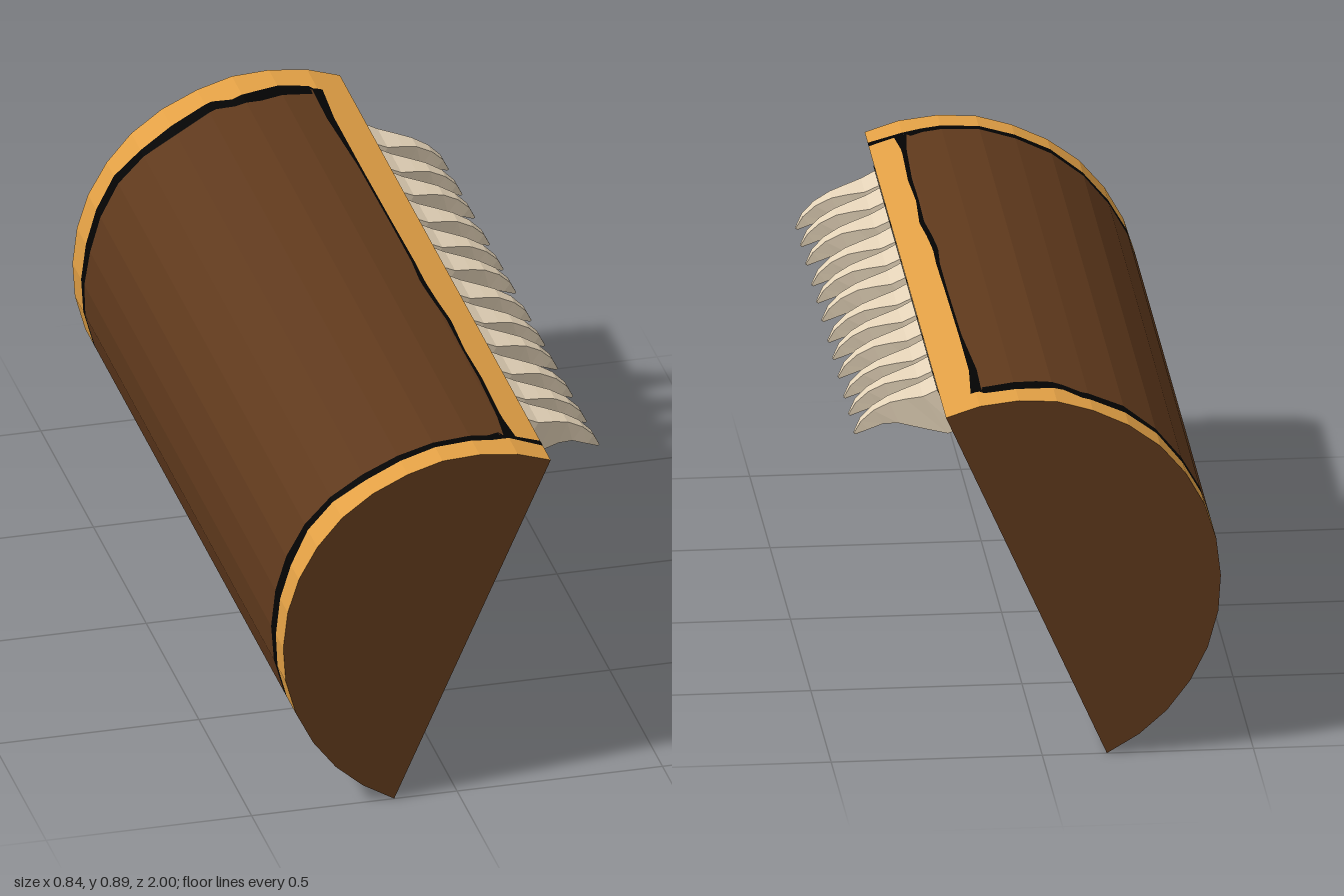
import * as THREE from 'three';

const mat = (name, color, side = THREE.FrontSide) => {
  const m = new THREE.MeshStandardMaterial({ color, side, flatShading: true });
  m.name = name;
  return m;
};

// Lid outline from the upper front lip, over the back, to the lower lip
const PROFILE = [
  [0.228, 0.853], [0.148, 0.879], [0.055, 0.89], [-0.035, 0.885], [-0.12, 0.86], [-0.205, 0.82],
  [-0.28, 0.765], [-0.34, 0.695], [-0.385, 0.615], [-0.412, 0.53], [-0.423, 0.437], [-0.417, 0.348],
  [-0.392, 0.258], [-0.35, 0.175], [-0.295, 0.103], [-0.23, 0.046], [-0.153, 0],
];
const LAST = PROFILE.length - 1;
const TOOTH_Z = [-0.72, -0.59, -0.47, -0.33, -0.2, -0.08, 0.065, 0.195, 0.315, 0.46, 0.59, 0.71];

// Ragged trim outlines: [position, gold side, wood side]
const BACK_EDGE = [
  [1, -0.915, -0.875], [2, -0.918, -0.87], [2.6, -0.91, -0.86], [3.3, -0.9, -0.865], [3.8, -0.925, -0.885],
  [5, -0.912, -0.866], [6, -0.912, -0.88], [7, -0.93, -0.89], [9, -0.915, -0.875], [11, -0.92, -0.9], [16, -0.915, -0.91],
];
const FRONT_EDGE = [
  [0, 0.925, 0.9], [1, 0.915, 0.875], [1.5, 0.925, 0.9], [3, 0.928, 0.905], [5, 0.93, 0.9], [6, 0.915, 0.89],
  [7, 0.91, 0.88], [8, 0.925, 0.88], [10, 0.93, 0.885], [12, 0.915, 0.89], [13, 0.91, 0.9], [16, 0.91, 0.905],
];
const LIP_EDGE = [
  [-0.9, 0.85, 1.15], [-0.75, 0.98, 1.18], [-0.5, 0.98, 1.05], [-0.2, 0.95, 1.02], [0, 0.92, 1.02], [0.1, 0.94, 1.08],
  [0.2, 0.88, 1.02], [0.3, 0.78, 0.92], [0.45, 0.86, 0.94], [0.6, 0.8, 0.92], [0.8, 0.86, 1], [0.9, 0.75, 1.1],
];

const lerp = THREE.MathUtils.lerp;
const onLid = (s, z) => {
  const i = Math.min(Math.floor(s), LAST - 1), t = s - i;
  return [lerp(PROFILE[i][0], PROFILE[i + 1][0], t), lerp(PROFILE[i][1], PROFILE[i + 1][1], t), z];
};
// Border function read from one column of an outline list
const border = (list, col) => t => {
  let i = 0;
  while (i < list.length - 2 && t > list[i + 1][0]) i++;
  const a = list[i], b = list[i + 1];
  return lerp(a[col], b[col], (t - a[0]) / (b[0] - a[0]));
};

// Faceted surface from a function of (u, v), both 0..1
function grid(fn, nu, nv) {
  const p = [];
  for (let i = 0; i < nu; i++) for (let j = 0; j < nv; j++) {
    const a = fn(i / nu, j / nv), b = fn((i + 1) / nu, j / nv);
    const c = fn((i + 1) / nu, (j + 1) / nv), d = fn(i / nu, (j + 1) / nv);
    p.push(...a, ...b, ...c, ...a, ...c, ...d);
  }
  const g = new THREE.BufferGeometry();
  g.setAttribute('position', new THREE.Float32BufferAttribute(p, 3));
  g.computeVertexNormals();
  return g;
}

function toothGeometry() {
  // Sections: top x, top y, bottom x, bottom y, top half width, bottom half width
  const rows = [
    [0.22, 0.845, 0.174, 0.745, 0.053, 0.064], [0.26, 0.825, 0.202, 0.733, 0.049, 0.056],
    [0.3, 0.815, 0.26, 0.742, 0.035, 0.04], [0.337, 0.804, 0.315, 0.752, 0.024, 0.026],
    [0.375, 0.783, 0.35, 0.75, 0.018, 0.019], [0.404, 0.755, 0.388, 0.734, 0.013, 0.014],
    [0.42, 0.723, 0.416, 0.72, 0.005, 0.005],
  ];
  return grid((u, v) => {
    const [tx, ty, bx, by, tw, bw] = rows[Math.round(u * (rows.length - 1))];
    return [[tx, ty, tw], [bx, by, bw], [bx, by, -bw], [tx, ty, -tw]][Math.round(v * 4) % 4];
  }, rows.length - 1, 4);
}

export function createModel() {
  const root = new THREE.Group();
  root.name = 'toothedChestLid';
  const wood = mat('brown wood', 0x5f391c);
  const gold = mat('gold trim', 0xe2a045);
  const black = mat('black', 0x030303, THREE.DoubleSide);
  const ivory = mat('ivory', 0xe4d3b8, THREE.DoubleSide);
  const add = (name, geo, material) => {
    const m = new THREE.Mesh(geo, material);
    m.name = name;
    root.add(m);
    return m;
  };

  // Curved shell patch between two borders along z
  const around = (s0, za, zb) => grid((u, v) => {
    const s = lerp(s0, LAST, u);
    return onLid(s, lerp(za(s), zb(s), v));
  }, (LAST - s0) * 10, 1);
  // Lip patch between two borders along the outline
  const along = (sa, sb) => grid((u, v) => {
    const z = lerp(-0.9, 0.9, v);
    return onLid(lerp(sa(z), sb(z), u), z);
  }, 6, 60);

  const lipEnd = 1.2;
  const inLip = (fn, z) => s => (s < lipEnd ? z : fn(s));
  const backOuter = inLip(border(BACK_EDGE, 1), -0.9), backInner = inLip(border(BACK_EDGE, 2), -0.9);
  const frontOuter = border(FRONT_EDGE, 1), frontInner = inLip(border(FRONT_EDGE, 2), 0.9);
  const lipOuter = border(LIP_EDGE, 1), lipInner = border(LIP_EDGE, 2);

  add('curvedShell', around(lipEnd, border(BACK_EDGE, 2), border(FRONT_EDGE, 2)), wood);
  add('frontGoldBand', around(0, frontOuter, () => 1), gold);
  add('backGoldBand', around(0, () => -1, backOuter), gold);
  add('frontBandOutline', around(0, frontInner, frontOuter), black);
  add('backBandOutline', around(0, backOuter, backInner), black);
  add('lipGoldBand', along(() => 0, lipOuter), gold);
  add('lipOutline', along(lipOuter, lipInner), black);
  add('lipShell', along(lipInner, () => lipEnd), wood);

  // Flat ends
  const endShape = new THREE.Shape(PROFILE.map(([x, y]) => new THREE.Vector2(x, y)));
  add('frontEnd', new THREE.ShapeGeometry(endShape), wood).position.z = 1;
  const backShape = new THREE.Shape(PROFILE.map(([x, y]) => new THREE.Vector2(-x, y)));
  const backEnd = add('backEnd', new THREE.ShapeGeometry(backShape), wood);
  backEnd.rotation.y = Math.PI;
  backEnd.position.z = -1;

  // Slanted rim: drawn as (z, y), then leaned onto the open side
  const slant = y => -0.153 + y * 0.381 / 0.853;
  const rect = (C, w, y0, y1) => new C([[-w, y0], [w, y0], [w, y1], [-w, y1]].map(p => new THREE.Vector2(...p)));
  const lean = (shape, offset) => {
    const g = new THREE.ShapeGeometry(shape), p = g.attributes.position;
    for (let i = 0; i < p.count; i++) {
      const a = p.getX(i), y = p.getY(i);
      p.setXYZ(i, slant(y) + offset, y, -a);
    }
    g.computeVertexNormals();
    return g;
  };
  const rim = rect(THREE.Shape, 1, 0, 0.853);
  rim.holes.push(rect(THREE.Path, 0.81, 0.15, 0.73));
  add('rim', lean(rim, 0), wood);
  add('gumPlate', lean(rect(THREE.Shape, 0.79, 0.73, 0.848), 0.003), black);

  // Hollow inside
  const k = 0.58 / 0.853;
  const inner = ([x, y]) => [slant(0.44) + (x - 0.0375) * k, 0.44 + (y - 0.4265) * k];
  add('cavity', grid((u, v) => [...inner(onLid(u * LAST, 0)), lerp(0.81, -0.81, v)], LAST, 1), black);
  const capShape = new THREE.Shape(PROFILE.map(p => new THREE.Vector2(...inner(p))));
  for (const z of [-0.81, 0.81]) add('cavityEnd', new THREE.ShapeGeometry(capShape), black).position.z = z;

  // Row of curved teeth along the upper lip
  const tooth = toothGeometry();
  for (const z of TOOTH_Z) add('tooth', tooth, ivory).position.z = z;

  return root;
}
